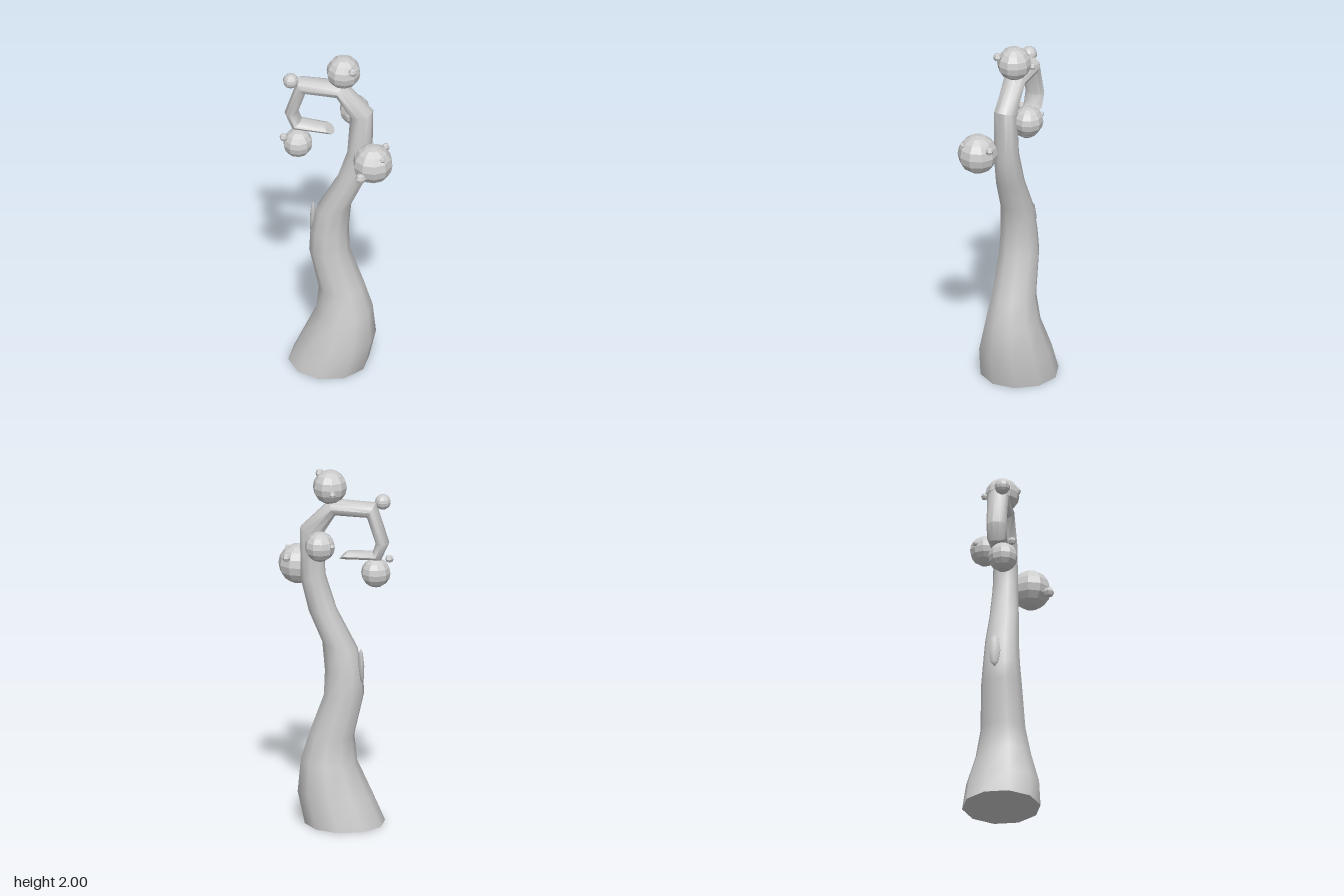
import * as THREE from 'three';
import { toCreasedNormals } from 'three/addons/utils/BufferGeometryUtils.js';

const SIDES = 10;
const CENTRE_Z = -0.02;
const smooth = new THREE.MeshStandardMaterial({ color: 0xcccccc, side: THREE.DoubleSide });
const faceted = new THREE.MeshStandardMaterial({ color: 0xcccccc, flatShading: true });

// Trunk cross-sections: inner x, y, outer x, y, half depth.
const RINGS = [
  [-0.28, 0, 0.14, 0, 0.215],
  [-0.21, 0.16, 0.18, 0.18, 0.2],
  [-0.13, 0.34, 0.165, 0.36, 0.152],
  [-0.115, 0.49, 0.12, 0.51, 0.123],
  [-0.17, 0.73, 0.04, 0.73, 0.112],
  [-0.165, 0.84, 0.035, 0.87, 0.102],
  [-0.135, 0.99, 0.05, 1.03, 0.092],
  [-0.02, 1.21, 0.125, 1.2, 0.08],
  [0.04, 1.4, 0.17, 1.38, 0.07],
  [0.055, 1.63, 0.175, 1.67, 0.064],
  [-0.02, 1.75, 0.01, 1.835, 0.063],
  [-0.195, 1.745, -0.24, 1.825, 0.058],
  [-0.242, 1.6, -0.312, 1.6, 0.055],
  [-0.225, 1.55, -0.27, 1.505, 0.054],
  [-0.09, 1.545, -0.04, 1.5, 0.045],
];

// Skin elliptical rings into a tube with closed ends.
function loftGeometry(rings) {
  const pos = [], index = [];
  for (const [ix, iy, ox, oy, hz] of rings) {
    const k = 0.5 / Math.cos(Math.PI / SIDES);
    for (let i = 0; i < SIDES; i++) {
      const a = Math.PI / 2 + (i / SIDES) * Math.PI * 2;
      const c = Math.cos(a) * k;
      pos.push((ix + ox) / 2 + (ox - ix) * c, (iy + oy) / 2 + (oy - iy) * c,
        CENTRE_Z + hz * Math.sin(a));
    }
  }
  for (let r = 0; r < rings.length - 1; r++) {
    for (let i = 0; i < SIDES; i++) {
      const j = (i + 1) % SIDES;
      const a = r * SIDES + i, b = r * SIDES + j;
      index.push(a, a + SIDES, b, a + SIDES, b + SIDES, b);
    }
  }
  const last = (rings.length - 1) * SIDES;
  for (let i = 1; i < SIDES - 1; i++) {
    index.push(0, i, i + 1, last, last + i + 1, last + i);
  }
  const geo = new THREE.BufferGeometry();
  geo.setAttribute('position', new THREE.Float32BufferAttribute(pos, 3));
  geo.setIndex(index);
  return toCreasedNormals(geo, 0.75);
}

function addBall(group, name, x, y, z, r, small) {
  const geo = small ? new THREE.SphereGeometry(r, 6, 4) : new THREE.SphereGeometry(r, 10, 8);
  const ball = new THREE.Mesh(geo, faceted);
  ball.name = name;
  ball.position.set(x, y, z);
  group.add(ball);
}

export function createModel() {
  const model = new THREE.Group();
  model.name = 'curledTree';

  // Bent trunk running into the curled top
  const trunk = new THREE.Mesh(loftGeometry(RINGS), smooth);
  trunk.name = 'trunk';
  model.add(trunk);

  // Pointed bark sliver standing off the side of the trunk
  const sliverGeo = new THREE.SphereGeometry(1, 6, 4);
  sliverGeo.scale(0.016, 0.1, 0.036);
  const sliver = new THREE.Mesh(sliverGeo, smooth);
  sliver.name = 'barkSliver';
  sliver.position.set(-0.165, 0.9, -0.045);
  sliver.rotation.z = -0.04;
  model.add(sliver);

  // Large foliage balls
  const foliage = new THREE.Group();
  foliage.name = 'foliage';
  [
    [0.012, 1.907, -0.025, 0.094],
    [0.208, 1.42, 0.105, 0.11],
    [0.05, 1.595, -0.125, 0.083],
    [-0.235, 1.42, 0.01, 0.081],
    [-0.274, 1.825, 0.012, 0.043],
  ].forEach((b) => addBall(foliage, 'foliageBall', ...b, false));

  // Small buds on the balls
  [
    [0.08, 1.96, 0.045, 0.024],
    [-0.018, 1.89, -0.12, 0.019],
    [-0.025, 1.61, -0.17, 0.015],
    [-0.3, 1.483, 0.068, 0.023],
    [0.258, 1.475, 0.013, 0.023],
    [0.277, 1.49, 0.165, 0.014],
    [0.165, 1.383, 0.21, 0.03],
  ].forEach((b) => addBall(foliage, 'bud', ...b, true));
  model.add(foliage);

  return model;
}
